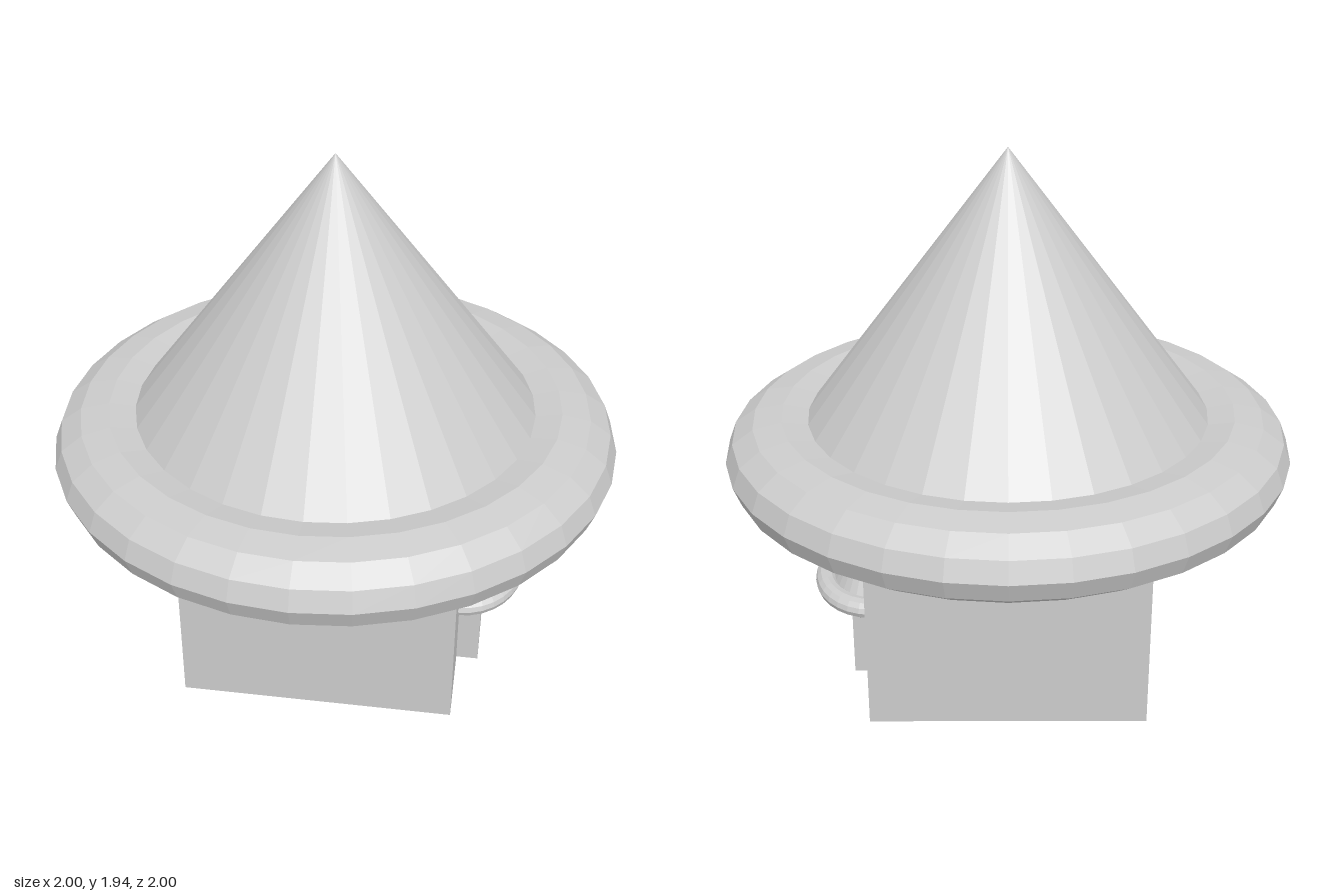
import * as THREE from 'three';

const material = new THREE.MeshStandardMaterial({ color: 0xcccccc, flatShading: true });

function add(parent, name, geometry, x, y, z) {
  const mesh = new THREE.Mesh(geometry, material);
  mesh.name = name;
  mesh.position.set(x, y, z);
  parent.add(mesh);
}

// Cone standing on its base, with separate radii along x and z
function cone(rx, rz, height) {
  return new THREE.ConeGeometry(1, height, 32).scale(rx, 1, rz).translate(0, height / 2, 0);
}

// Flattened ring lying level; outer radii rx and rz, half height h
function rim(rx, rz, h, tube) {
  return new THREE.TorusGeometry(1 - tube, tube, 12, 32).rotateX(Math.PI / 2).scale(rx, h / tube, rz);
}

export function createModel() {
  const group = new THREE.Group();
  group.name = 'coneRoofHut';

  // Square body
  add(group, 'walls', new THREE.BoxGeometry(0.98, 0.88, 0.98), 0, 0.44, 0);

  // Main roof
  const roof = new THREE.Group();
  roof.name = 'roof';
  roof.position.y = 0.873;
  add(roof, 'roofCone', cone(0.8, 0.8, 1.067), 0, 0, 0);
  add(roof, 'roofRim', rim(1, 1, 0.14, 0.2), 0, 0, 0);
  group.add(roof);

  // Porch on the +x wall, with a small oval roof half sunk into the wall
  const porch = new THREE.Group();
  porch.name = 'porch';
  porch.position.x = 0.49;
  add(porch, 'doorBlock', new THREE.BoxGeometry(0.16, 0.32, 0.374), 0, 0.165, 0);
  add(porch, 'porchCone', cone(0.168, 0.258, 0.313), 0, 0.32, 0);
  add(porch, 'porchRim', rim(0.229, 0.297, 0.035, 0.167), 0, 0.32, 0);
  group.add(porch);

  return group;
}
